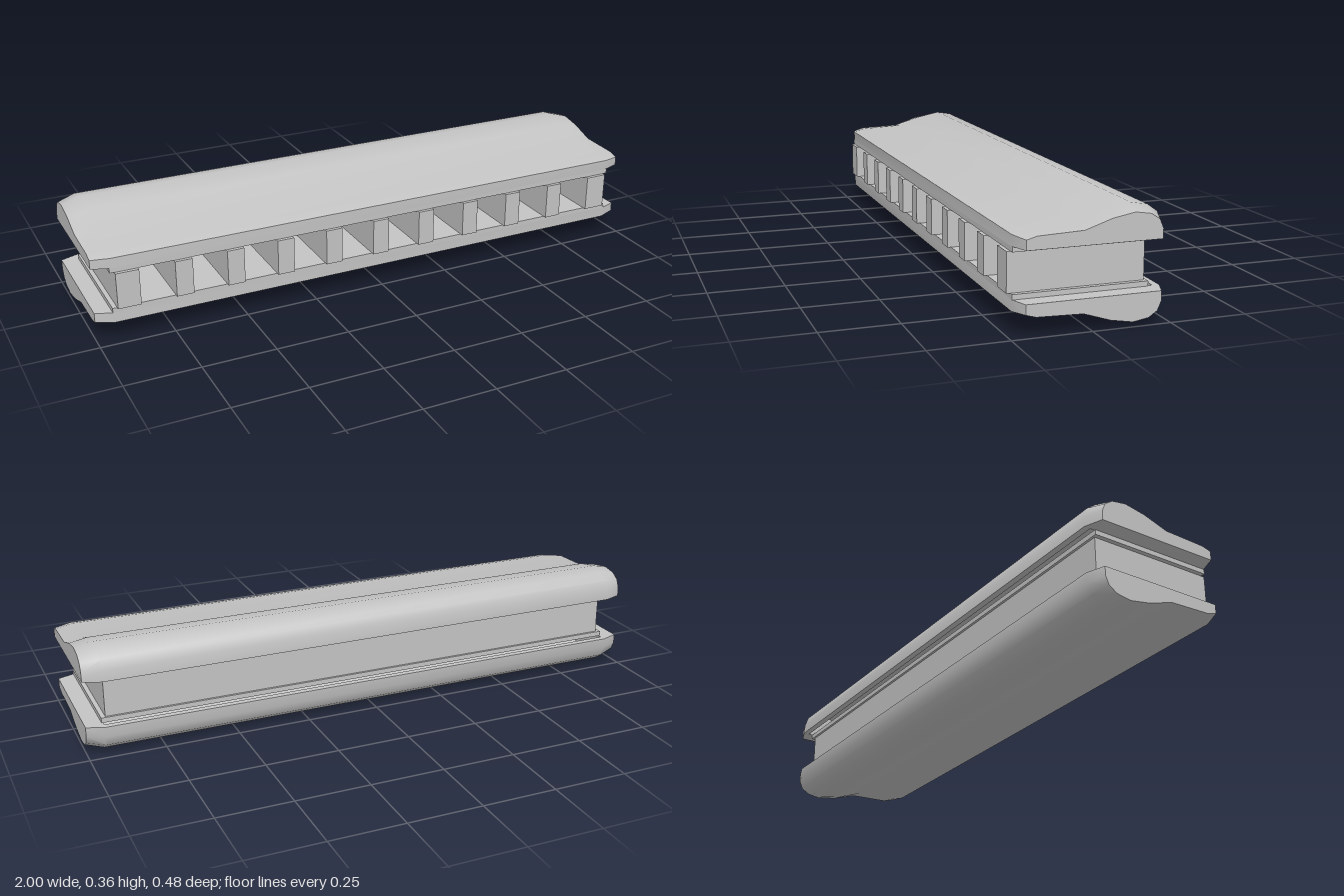
import * as THREE from 'three';
import { toCreasedNormals } from 'three/addons/utils/BufferGeometryUtils.js';

const MID = 0.18;        // height of the mirror plane
const BASE = 0.258;      // underside of the upper cover
const END = 1, RIM = 0.94;

// Cover cross-sections as [z, y], front lip over the crown to the back lip
const OUTER = [[0.228, BASE], [0.228, 0.293], [0.19, 0.303], [0.03, 0.31], [-0.055, 0.342],
  [-0.14, 0.359], [-0.193, 0.35], [-0.225, 0.327], [-0.237, 0.293], [-0.239, BASE]];
const INNER = [[0.207, BASE], [0.207, 0.289], [0.175, 0.298], [0.03, 0.303], [-0.055, 0.331],
  [-0.127, 0.344], [-0.177, 0.336], [-0.205, 0.317], [-0.217, 0.289], [-0.217, BASE]];

// Hollow cover with tapered ends; flip builds the lower, mirrored one
function coverGeometry(flip) {
  const pos = [];
  const quad = (a, b, c, d, reverse = false) => {
    const q = reverse !== flip ? [a, d, c, b] : [a, b, c, d];
    for (const i of [0, 1, 2, 0, 2, 3]) {
      const [x, y, z] = q[i];
      pos.push(x, flip ? 2 * MID - y : y, z);
    }
  };
  const at = (x, [z, y]) => [x, y, z];
  const skin = (xa, pa, xb, pb, reverse) => {
    for (let i = 0; i < pa.length - 1; i++) {
      quad(at(xa, pa[i]), at(xb, pb[i]), at(xb, pb[i + 1]), at(xa, pa[i + 1]), reverse);
    }
  };
  const wall = (x, p, reverse) => {
    for (let i = 0; i < p.length - 1; i++) {
      quad(at(x, p[i]), [x, BASE, p[i][0]], [x, BASE, p[i + 1][0]], at(x, p[i + 1]), reverse);
    }
  };
  // outer skin with bevelled ends, then the end faces
  skin(-END, INNER, -RIM, OUTER);
  skin(-RIM, OUTER, RIM, OUTER);
  skin(RIM, OUTER, END, INNER);
  wall(END, INNER);
  wall(-END, INNER, true);
  // cavity
  skin(-RIM, INNER, RIM, INNER, true);
  wall(RIM, INNER, true);
  wall(-RIM, INNER);
  // rim around the cavity
  const zf = OUTER[0][0], zb = OUTER[9][0], cf = INNER[0][0], cb = INNER[9][0];
  const rim = (...pts) => quad(...pts.map(([x, z]) => [x, BASE, z]));
  rim([-RIM, zb], [RIM, zb], [RIM, cb], [-RIM, cb]);
  rim([-RIM, cf], [RIM, cf], [RIM, zf], [-RIM, zf]);
  rim([RIM, zb], [END, cb], [END, cf], [RIM, zf]);
  rim([-END, cb], [-RIM, zb], [-RIM, zf], [-END, cf]);

  const geo = new THREE.BufferGeometry();
  geo.setAttribute('position', new THREE.Float32BufferAttribute(pos, 3));
  return toCreasedNormals(geo, 0.65);
}

// Comb block with ten slots open to the front
function combGeometry() {
  const half = 0.93, front = 0.24, back = -0.193, slotEnd = -0.13;
  const slot = 0.118, pitch = 0.1765, height = 0.124;
  const shape = new THREE.Shape();
  shape.moveTo(-half, -back);
  shape.lineTo(-half, -front);
  for (let i = 0; i < 10; i++) {
    const x = (i - 4.5) * pitch;
    shape.lineTo(x - slot / 2, -front);
    shape.lineTo(x - slot / 2, -slotEnd);
    shape.lineTo(x + slot / 2, -slotEnd);
    shape.lineTo(x + slot / 2, -front);
  }
  shape.lineTo(half, -front);
  shape.lineTo(half, -back);
  const geo = new THREE.ExtrudeGeometry(shape, { depth: height, bevelEnabled: false });
  return geo.rotateX(-Math.PI / 2).translate(0, MID - height / 2, 0);
}

export function createModel() {
  const metal = new THREE.MeshStandardMaterial({ color: 0xc4c4c4 });
  metal.name = 'light grey';
  const model = new THREE.Group();
  model.name = 'harmonica';
  const add = (name, geo) => {
    const mesh = new THREE.Mesh(geo, metal);
    mesh.name = name;
    model.add(mesh);
  };

  add('comb', combGeometry());
  for (const [name, side] of [['upper', 1], ['lower', -1]]) {
    // reed plate between comb and cover
    const plate = new THREE.BoxGeometry(1.89, 0.017, 0.429);
    add(name + 'ReedPlate', plate.translate(0, MID + side * 0.0705, 0.0135));
    add(name + 'Cover', coverGeometry(side < 0));
  }
  return model;
}
